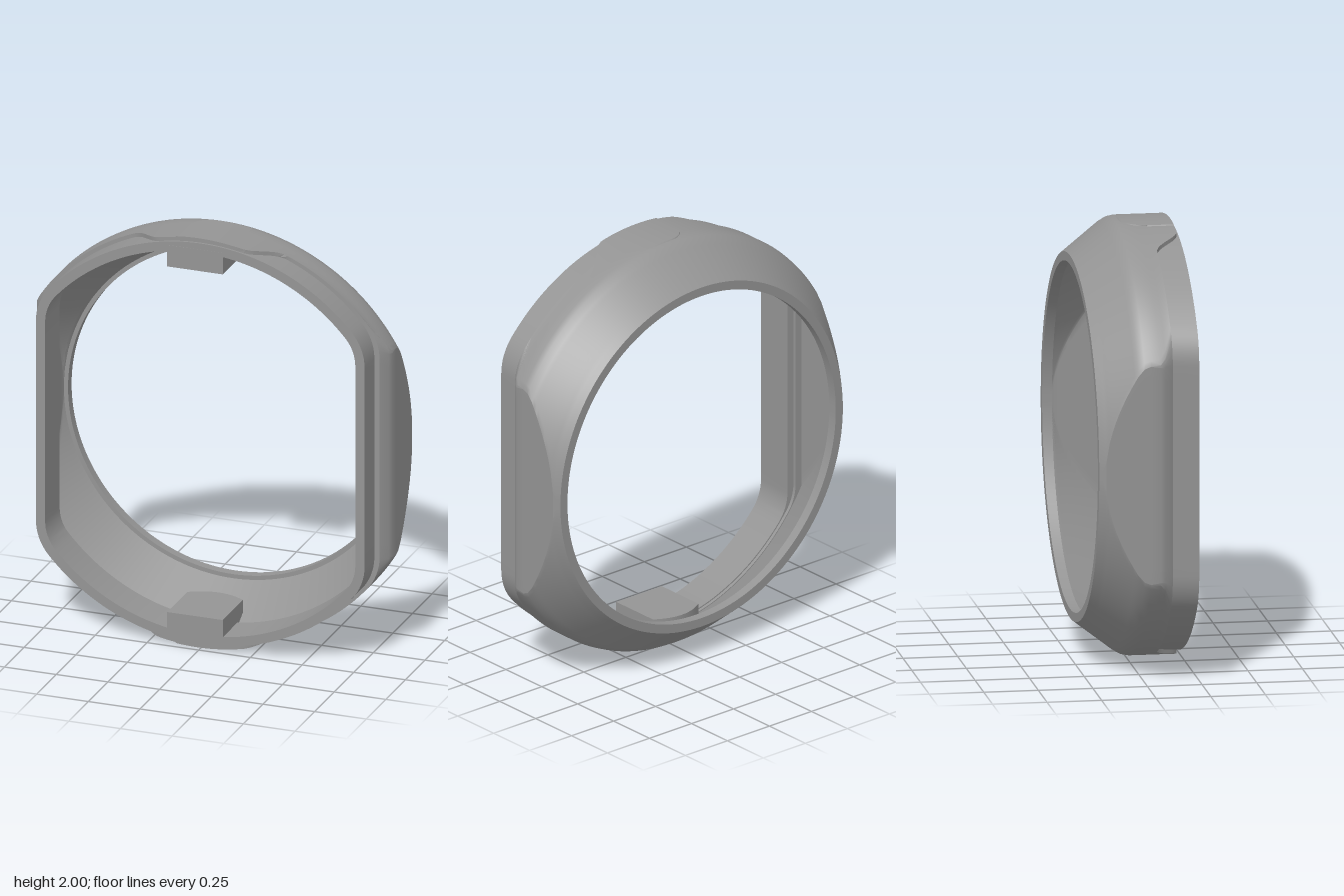
import * as THREE from 'three';
import { toCreasedNormals } from 'three/addons/utils/BufferGeometryUtils.js';

const R = 0.998; // outer radius of the body
const color = 0x949494;
const material = new THREE.MeshStandardMaterial({ color });
const thinMaterial = new THREE.MeshStandardMaterial({ color, side: THREE.DoubleSide });

// Circle of radius r cut by flats at x = +-c, corners rounded by f: one quadrant, then mirrored.
function outline(r, c, f) {
  c = Math.min(c, r - 0.0005);
  f = Math.max(f, 0.003);
  const cx = c - f, cy = Math.sqrt((r - f) ** 2 - cx ** 2);
  const a0 = Math.atan2(cy, cx), q = [];
  for (let i = 0; i < 8; i++) q.push([c, cy * i / 8]);
  for (let i = 0; i < 8; i++) {
    const a = a0 * i / 8;
    q.push([cx + f * Math.cos(a), cy + f * Math.sin(a)]);
  }
  for (let i = 0; i <= 40; i++) {
    const a = a0 + (Math.PI / 2 - a0) * i / 40;
    q.push([r * Math.cos(a), r * Math.sin(a)]);
  }
  const back = [...q].reverse();
  return [
    ...q.slice(0, -1),
    ...back.slice(0, -1).map(([x, y]) => [-x, y]),
    ...q.slice(0, -1).map(([x, y]) => [-x, -y]),
    ...back.slice(0, -1).map(([x, y]) => [x, -y]),
  ];
}

// Front edge of the body swells forward at the top and bottom.
function swell(x) {
  return 0.105 + 0.115 * (1 - THREE.MathUtils.smoothstep(Math.abs(x), 0.2, 0.37));
}

// Rows of the closed cross-section: radius, flat position, corner rounding, z, swelling front.
function ringRows() {
  const rows = [
    [0.98, 0.795, 0.25, 0.23],
    [0.98, 0.795, 0.25, 0.105, true],
    [R, 0.82, 0.25, 0.105, true],
    [R, 0.851, 0.1, 0.068],
    [R, 0.86, 0.03, 0.045],
    [R, 0.86, 0, 0],
    [0.992, 0.86, 0, -0.03],
  ];
  for (let i = 0; i <= 12; i++) { // outer cone
    const t = i / 12;
    rows.push([0.975 - 0.135 * t, 0.86, 0, -0.06 - 0.175 * t]);
  }
  rows.push([0.798, 2, 0, -0.235], [0.798, 2, 0, -0.19]); // rear rim
  for (let i = 0; i <= 12; i++) { // inner cone
    const t = i / 12;
    rows.push([0.818 + 0.127 * t, 0.82, 0, -0.19 + 0.22 * t]);
  }
  rows.push( // stepped inside of the front lip
    [0.941, 0.785, 0.2, 0.03],
    [0.941, 0.785, 0.2, 0.045],
    [0.935, 0.75, 0.2, 0.045],
    [0.935, 0.75, 0.2, 0.23],
  );
  return rows;
}

function ringGeometry() {
  const rows = ringRows(), pos = [], idx = [];
  let n = 0;
  for (const [r, c, f, z, swells] of rows) {
    const pts = outline(r, c, f);
    n = pts.length;
    for (const [x, y] of pts) pos.push(x, y, swells && Math.abs(y) > 0.8 ? swell(x) : z);
  }
  for (let i = 0; i < rows.length; i++) {
    const p = i * n, q = ((i + 1) % rows.length) * n;
    for (let j = 0; j < n; j++) {
      const k = (j + 1) % n;
      idx.push(p + j, q + j, p + k, q + j, q + k, p + k);
    }
  }
  const g = new THREE.BufferGeometry();
  g.setAttribute('position', new THREE.Float32BufferAttribute(pos, 3));
  g.setIndex(idx);
  return toCreasedNormals(g, 0.45);
}

// Thin raised plate with a rounded rear corner, fading into the body towards +x.
function plateGeometry(side) {
  const g = new THREE.PlaneGeometry(1, 1, 24, 3), p = g.attributes.position;
  for (let row = 0; row < 4; row++) {
    for (let col = 0; col < 25; col++) {
      const t = Math.max(col - 1, 0) / 23;
      const x = -0.12 + 0.28 * t * t - (col === 0 ? 0.006 : 0);
      const d = THREE.MathUtils.clamp((x + 0.12) / 0.11, 0, 1);
      const rear = 0.1 - 0.11 * Math.sqrt(1 - (1 - d) ** 2) - (row === 3 ? 0.004 : 0);
      const raised = col > 0 && (row === 1 || row === 2);
      const y = Math.sqrt(R * R - x * x) + (raised ? 0.004 * (1 - t * t) : -0.002);
      p.setXYZ(row * 25 + col, x, side * y, row < 2 ? 0.221 : rear);
    }
  }
  // Turn the faces of the lower plate outward.
  if (side < 0) g.setIndex([...g.index.array].reverse());
  return toCreasedNormals(g, 0.4);
}

// Inner lug with a bowed rear edge.
function lugGeometry() {
  const s = new THREE.Shape();
  s.moveTo(-0.16, 0.231);
  s.lineTo(0.11, 0.231);
  s.lineTo(0.11, -0.025);
  s.quadraticCurveTo(-0.025, -0.115, -0.16, -0.025);
  s.closePath();
  const g = new THREE.ExtrudeGeometry(s, { depth: 0.105, bevelEnabled: false, curveSegments: 12 });
  g.rotateX(Math.PI / 2);
  g.translate(0, 0.0525, 0);
  return toCreasedNormals(g, 0.5);
}

export function createModel() {
  const model = new THREE.Group();
  model.name = 'ringFrame';
  const add = (name, geometry, mat = material) => {
    const mesh = new THREE.Mesh(geometry, mat);
    mesh.name = name;
    mesh.position.y = 1;
    model.add(mesh);
    return mesh;
  };
  add('ringBody', ringGeometry());
  for (const [side, label] of [[1, 'top'], [-1, 'bottom']]) {
    add(label + 'Plate', plateGeometry(side), thinMaterial);
    add(label + 'Lug', lugGeometry()).position.y = 1 + side * 0.8975;
  }
  return model;
}
